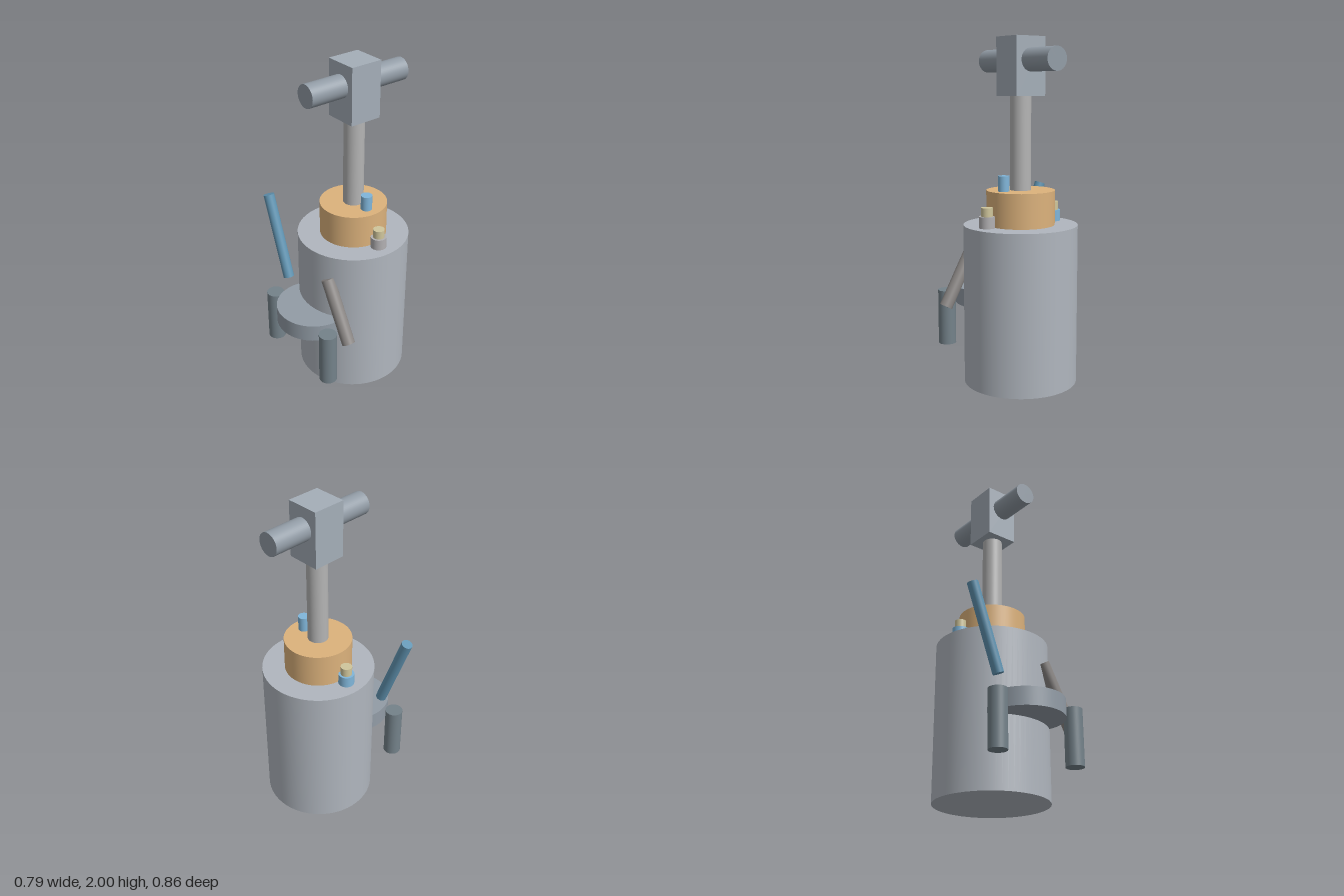
import * as THREE from 'three';

const CX = 0.026, CZ = -0.098; // main vertical axis

const mat = (color) => new THREE.MeshStandardMaterial({ color });
const body = mat(0xb0b6be), steel = mat(0x929ca6), block = mat(0xa4aeb8), rodGrey = mat(0xb4b4b4);
const orange = mat(0xdcb27c), blue = mat(0x80b6da), sand = mat(0xd0c69c);
const capGrey = mat(0xb2b0b2), slate = mat(0x74828a), teal = mat(0x6296b4), darkGrey = mat(0x8c8886);

export function createModel() {
  const model = new THREE.Group();

  // Cylinder running between two points
  function rod(name, a, b, radius, material, sides = 48) {
    const start = new THREE.Vector3(...a), end = new THREE.Vector3(...b);
    const dir = end.clone().sub(start);
    const mesh = new THREE.Mesh(
      new THREE.CylinderGeometry(radius, radius, dir.length(), sides), material);
    mesh.position.copy(start).add(end).multiplyScalar(0.5);
    mesh.quaternion.setFromUnitVectors(new THREE.Vector3(0, 1, 0), dir.normalize());
    mesh.name = name;
    model.add(mesh);
  }
  // Upright cylinder from y0 to y1
  const post = (name, x, z, y0, y1, r, material, sides) =>
    rod(name, [x, y0, z], [x, y1, z], r, material, sides);

  // Body, collar and neck
  post('body', CX, CZ, 0, 0.934, 0.331, body, 64);
  post('collar', CX, CZ, 0.934, 1.134, 0.198, orange, 64);
  post('neck', CX, CZ, 1.134, 1.672, 0.06, rodGrey);

  // Head block with crossbar
  const head = new THREE.Mesh(new THREE.BoxGeometry(0.198, 0.33, 0.198), block);
  head.position.set(CX, 1.835, CZ);
  head.name = 'headBlock';
  model.add(head);
  rod('crossbar', [CX, 1.87, -0.429], [CX, 1.87, 0.233], 0.066, steel);

  // Small fittings on the top faces
  post('collarPin', 0.145, CZ, 1.134, 1.222, 0.033, blue);
  for (const [side, x, material] of [['right', -0.207, blue], ['left', 0.259, capGrey]]) {
    post(side + 'FittingBase', x, CZ, 0.934, 1.0, 0.046, material);
    post(side + 'FittingCap', x, CZ, 1.0, 1.05, 0.033, sand);
  }

  // Front disc and hanging posts
  post('frontDisc', CX, 0.2, 0.417, 0.523, 0.226, steel, 64);
  post('rightPost', -0.24, 0.3, 0.17, 0.502, 0.053, slate);
  post('leftPost', 0.291, 0.3, 0.17, 0.502, 0.053, slate);

  // Slanted sticks
  rod('rightStick', [-0.185, 0.62, 0.234], [-0.365, 1.118, 0.234], 0.0325, teal);
  rod('leftStick', [0.358, 0.427, 0.2], [0.163, 0.779, 0.2], 0.039, darkGrey);

  return model;
}
